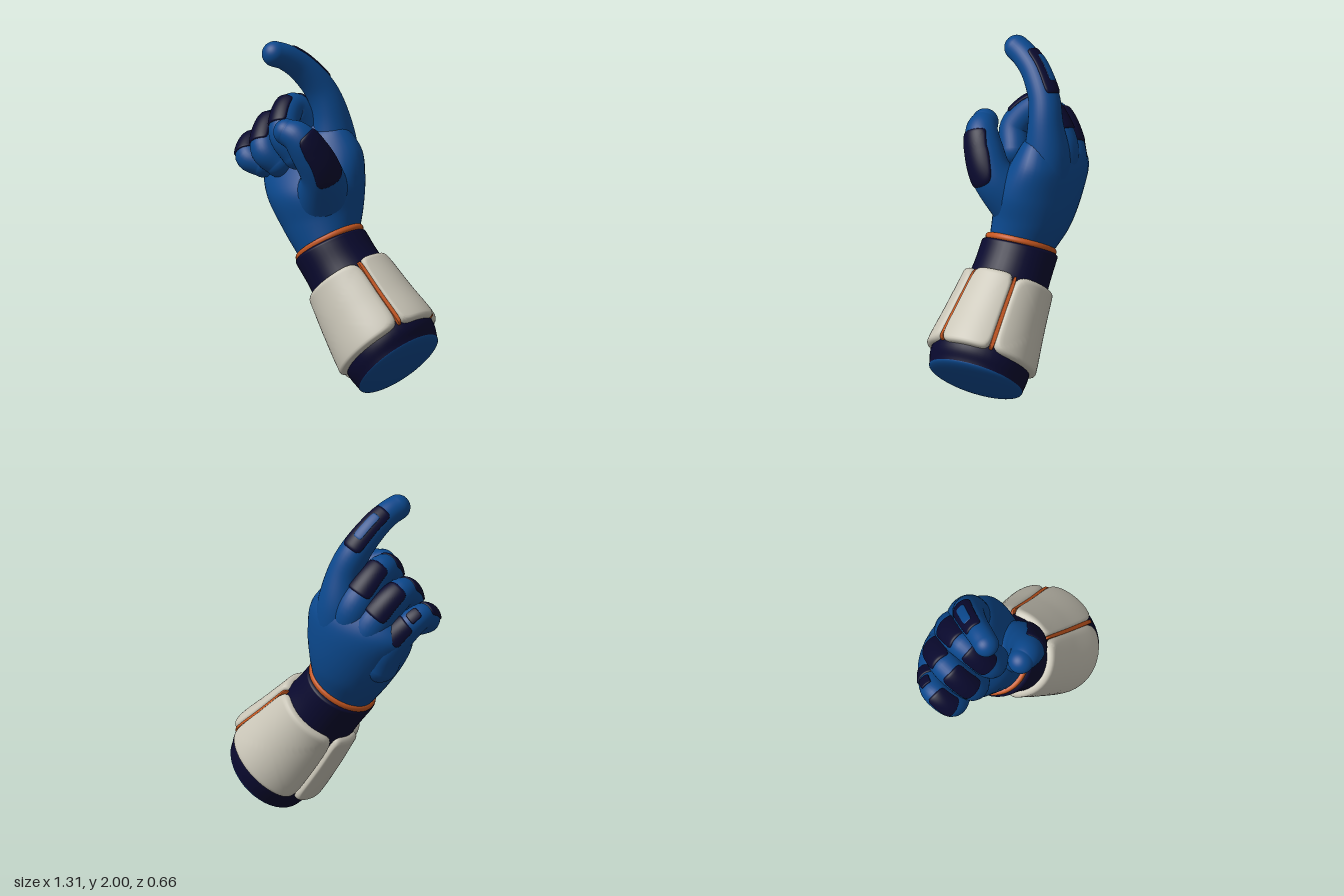
import * as THREE from 'three';

const V = (x, y, z) => new THREE.Vector3(x, y, z);
const curve = (pts) => new THREE.CatmullRomCurve3(pts, false, 'catmullrom', 0.5);
const clamp01 = (u) => Math.min(1, Math.max(0, u));
const rad = Math.PI / 180;

const material = (name, color) => {
  const m = new THREE.MeshStandardMaterial({ color });
  m.name = name;
  return m;
};

// A surface maps (u, v) to a point: u runs along the part, v is the angle around it.
// u below 0 or above 1 forms a rounded end cap.
const capOf = (u) => {
  const k = u < 0 ? u : u > 1 ? u - 1 : 0;
  return { scale: Math.cos(k * Math.PI / 2), push: Math.sin(k * Math.PI / 2) };
};

// Oval loft; each section is [leftX, leftY, rightX, rightY, zFront, zBack].
function loftSurface(sections, capDepth) {
  const left = curve(sections.map((s) => V(s[0], s[1], s[4])));
  const right = curve(sections.map((s) => V(s[2], s[3], s[5])));
  return (u, v) => {
    const a = left.getPoint(clamp01(u)), b = right.getPoint(clamp01(u)), cap = capOf(u);
    const sx = (a.x - b.x) / 2, sy = (a.y - b.y) / 2, len = Math.hypot(sx, sy);
    const c = Math.cos(v) * cap.scale, s = Math.sin(v) * cap.scale, d = cap.push * capDepth;
    return V(
      (a.x + b.x) / 2 + sx * s + (sy / len) * d,
      (a.y + b.y) / 2 + sy * s - (sx / len) * d,
      (a.z + b.z) / 2 + c * (a.z - b.z) / 2
    );
  };
}

// Round finger; points are [x, y, z, radius], side is the axis it curls about.
function fingerSurface(points, side) {
  const path = curve(points.map((p) => V(p[0], p[1], p[2])));
  const radius = curve(points.map((p) => V(p[3], 0, 0)));
  return (u, v) => {
    const t = clamp01(u), cap = capOf(u), r = radius.getPoint(t).x;
    const T = path.getTangent(t);
    const S = side.clone().addScaledVector(T, -side.dot(T)).normalize();
    const D = T.clone().cross(S);
    return path.getPoint(t)
      .addScaledVector(D, Math.cos(v) * r * cap.scale)
      .addScaledVector(S, Math.sin(v) * r * cap.scale)
      .addScaledVector(T, cap.push * r);
  };
}

function buildGeometry(points, index) {
  const g = new THREE.BufferGeometry().setFromPoints(points);
  g.setIndex(index);
  g.computeVertexNormals();
  return g;
}

// Closed skin around a surface between two u values.
function skin(surface, u0, u1, rows = 56, cols = 40) {
  const pts = [], idx = [];
  for (let i = 0; i <= rows; i++)
    for (let j = 0; j < cols; j++)
      pts.push(surface(u0 + (u1 - u0) * i / rows, j / cols * Math.PI * 2));
  for (let i = 0; i < rows; i++)
    for (let j = 0; j < cols; j++) {
      const a = i * cols + j, d = i * cols + (j + 1) % cols, b = a + cols, c = d + cols;
      idx.push(a, b, c, a, c, d);
    }
  return buildGeometry(pts, idx);
}

// Rounded, pillow-edged pad that follows a surface.
function pad(surface, u0, u1, vMid, vHalf, thickness, edge = 0.12, n = 28) {
  const pts = [], idx = [], e = 1e-3, power = 7;
  for (let i = 0; i <= n; i++)
    for (let j = 0; j <= n; j++) {
      const p = Math.sin((i / n - 0.5) * Math.PI), q = Math.sin((j / n - 0.5) * Math.PI);
      const m = Math.max(Math.abs(p), Math.abs(q));
      const norm = Math.pow(Math.abs(p) ** power + Math.abs(q) ** power, 1 / power);
      const f = norm > 1e-6 ? m / norm : 0;
      const u = (u0 + u1) / 2 + p * f * (u1 - u0) / 2;
      const v = (vMid + q * f * vHalf) * rad;
      const normal = surface(u + e, v).sub(surface(u - e, v))
        .cross(surface(u, v + e).sub(surface(u, v - e))).normalize();
      const k = Math.max(0, (m - 1 + edge) / edge);
      const h = (thickness + 0.004) * Math.sqrt(Math.max(0, 1 - k * k)) - 0.004;
      pts.push(surface(u, v).addScaledVector(normal, h));
    }
  for (let i = 0; i < n; i++)
    for (let j = 0; j < n; j++) {
      const a = i * (n + 1) + j, b = a + n + 1;
      idx.push(a, b, b + 1, a, b + 1, a + 1);
    }
  return buildGeometry(pts, idx);
}

export function createModel() {
  const model = new THREE.Group();
  model.name = 'glovedHand';
  const blue = material('blue', 0x0b488d);
  const navy = material('navy', 0x09092e);
  const white = material('warmWhite', 0xc9c5b7);
  const orange = material('orange', 0xc4561f);
  const add = (name, geometry, mat, parent = model) => {
    const mesh = new THREE.Mesh(geometry, mat);
    mesh.name = name;
    parent.add(mesh);
  };

  // Forearm sleeve with its closed end
  const sleeve = loftSurface([
    [0.272, 0.0, 0.65, 0.365, 0.285, -0.285],
    [0.18, 0.09, 0.61, 0.465, 0.295, -0.295],
    [0.04, 0.30, 0.43, 0.63, 0.25, -0.27],
    [-0.10, 0.53, 0.25, 0.80, 0.205, -0.255],
    [-0.225, 0.695, 0.15, 0.92, 0.195, -0.255],
  ], 0.045);
  add('sleeve', skin(sleeve, 0, 1.6), navy);
  add('sleeveEnd', skin(sleeve, -1, 0, 12), blue);

  // Armour plates around the sleeve: [name, middle angle, half angle], with trim in two gaps
  const cuff = new THREE.Group();
  cuff.name = 'cuff';
  model.add(cuff);
  const plates = [['frontPlate', 5, 63], ['leftPlate', -90, 30], ['backPlate', 180.5, 57.5], ['rightPlate', 96, 26]];
  for (const [name, angle, half] of plates)
    add(name, pad(sleeve, 0.235, 0.735, angle, half, 0.035), white, cuff);
  for (const angle of [-59, -121.5])
    add('cuffTrim', pad(sleeve, 0.25, 0.72, angle, 2.5, 0.025), orange, cuff);

  // Wrist ring
  add('wristRing', skin(loftSurface([
    [-0.215, 0.70, 0.13, 0.915, 0.165, -0.225],
    [-0.234, 0.715, 0.14, 0.94, 0.175, -0.24],
    [-0.232, 0.74, 0.122, 0.957, 0.17, -0.235],
    [-0.20, 0.76, 0.09, 0.945, 0.14, -0.20],
  ], 0), 0, 1, 16), orange);

  // Palm
  add('palm', skin(loftSurface([
    [-0.21, 0.72, 0.12, 0.93, 0.15, -0.215],
    [-0.35, 0.88, 0.12, 1.04, 0.155, -0.285],
    [-0.475, 1.06, 0.125, 1.19, 0.16, -0.32],
    [-0.55, 1.21, 0.09, 1.36, 0.07, -0.32],
    [-0.51, 1.31, 0.0, 1.48, 0.01, -0.27],
    [-0.42, 1.38, -0.07, 1.51, -0.04, -0.22],
  ], 0.05), 0, 2, 80), blue);

  // Fingers: path with radii, curl axis, pads [u0, u1, half angle]
  const curl = V(0.92, 0.38, 0.09);
  const fingers = [
    ['indexFinger', [[-0.11, 1.15, -0.15, 0.155], [-0.115, 1.38, -0.165, 0.138], [-0.13, 1.57, -0.15, 0.104],
      [-0.18, 1.71, -0.115, 0.092], [-0.243, 1.832, -0.03, 0.082], [-0.288, 1.90, 0.06, 0.076],
      [-0.32, 1.927, 0.13, 0.074]],
      V(0.9, 0.4, 0.2), [[0.51, 0.82, 48]]],
    ['middleFinger', [[-0.17, 1.24, -0.18, 0.12], [-0.23, 1.42, -0.18, 0.115], [-0.31, 1.595, -0.03, 0.087],
      [-0.27, 1.47, 0.11, 0.088], [-0.195, 1.345, 0.085, 0.085]],
      curl, [[0.31, 0.475, 50], [0.535, 0.70, 55]]],
    ['ringFinger', [[-0.27, 1.14, -0.18, 0.12], [-0.34, 1.32, -0.18, 0.113], [-0.447, 1.485, -0.05, 0.087],
      [-0.412, 1.365, 0.095, 0.087], [-0.335, 1.28, 0.07, 0.08]],
      curl, [[0.30, 0.48, 52], [0.535, 0.72, 55]]],
    ['littleFinger', [[-0.36, 1.06, -0.14, 0.11], [-0.44, 1.21, -0.145, 0.10], [-0.57, 1.36, -0.05, 0.076],
      [-0.55, 1.30, 0.065, 0.077], [-0.46, 1.255, 0.05, 0.07]],
      curl, [[0.28, 0.41, 50], [0.43, 0.495, 28], [0.545, 0.73, 55]]],
    ['thumb', [[-0.07, 1.09, 0.0, 0.17], [0.005, 1.25, 0.12, 0.125], [-0.03, 1.39, 0.195, 0.11],
      [-0.08, 1.475, 0.235, 0.095], [-0.15, 1.505, 0.25, 0.077]],
      V(-0.3, 0, 0.95), [[0.25, 0.71, 54]]],
  ];
  for (const [name, points, side, pads] of fingers) {
    const group = new THREE.Group();
    group.name = name;
    model.add(group);
    const surface = fingerSurface(points, side);
    add(name + 'Skin', skin(surface, -1, 2, 96, 32), blue, group);
    for (const [u0, u1, half] of pads)
      add(name + 'Pad', pad(surface, u0, u1, 0, half, 0.007), navy, group);
    // Blue window in the middle of the index pad
    if (name === 'indexFinger')
      add('indexPadWindow', pad(surface, 0.57, 0.75, 0, 20, 0.0095), blue, group);
  }
  return model;
}
